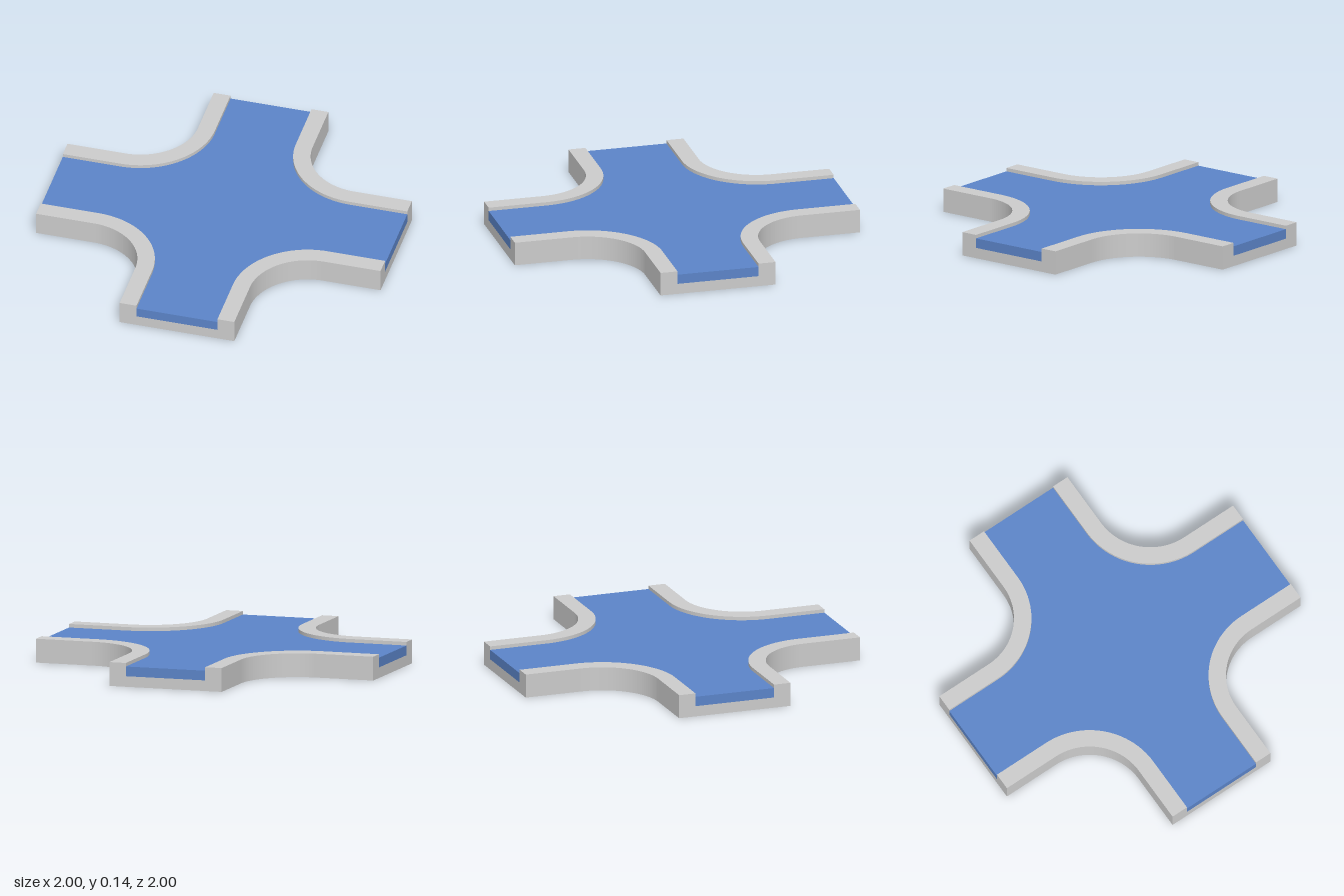
import * as THREE from 'three';

const C = 0.667;       // centre of the corner arcs
const OUTER = 0.333;   // half width to the outside of the kerbs
const INNER = 0.235;   // half width of the channel
const KERB_TOP = 0.135, SURFACE = 0.115, BASE_TOP = 0.06;
const Q = Math.PI / 2;

// Cross outline with concave rounded corners
function crossShape(r) {
  const s = new THREE.Shape();
  for (let k = 0; k < 4; k++) {
    const cos = Math.round(Math.cos(k * Q)), sin = Math.round(Math.sin(k * Q));
    const at = (x, y) => [x * cos - y * sin, x * sin + y * cos];
    if (k === 0) s.moveTo(...at(1, -r));
    else s.lineTo(...at(1, -r));
    s.lineTo(...at(1, r));
    s.absarc(...at(C, C), C - r, (k - 1) * Q, (k - 2) * Q, true);
  }
  s.closePath();
  return s;
}

// Band between the outer and inner outlines of one corner
function kerbShape() {
  const s = new THREE.Shape();
  s.moveTo(1, INNER);
  s.lineTo(1, OUTER);
  s.absarc(C, C, C - OUTER, -Q, -2 * Q, true);
  s.lineTo(OUTER, 1);
  s.lineTo(INNER, 1);
  s.absarc(C, C, C - INNER, -2 * Q, -Q, false);
  s.closePath();
  return s;
}

// Extrude a plan shape upwards between two heights
function slab(name, shape, y0, y1, material) {
  const g = new THREE.ExtrudeGeometry(shape, { depth: y1 - y0, bevelEnabled: false, curveSegments: 16 });
  g.rotateX(-Q).translate(0, y0, 0);
  const mesh = new THREE.Mesh(g, material);
  mesh.name = name;
  return mesh;
}

export function createModel() {
  const grey = new THREE.MeshStandardMaterial({ color: 0xcccccc });
  const blue = new THREE.MeshStandardMaterial({ color: 0x5b84c8 });
  const model = new THREE.Group();
  model.name = 'crossingTile';

  // Grey bed with the blue channel surface on top
  model.add(slab('channelBed', crossShape(INNER), 0, BASE_TOP, grey));
  model.add(slab('channelSurface', crossShape(INNER), BASE_TOP, SURFACE, blue));

  // One curved kerb per corner
  for (let k = 0; k < 4; k++) {
    const kerb = slab('kerb' + (k + 1), kerbShape(), 0, KERB_TOP, grey);
    kerb.rotation.y = k * Q;
    model.add(kerb);
  }
  return model;
}
